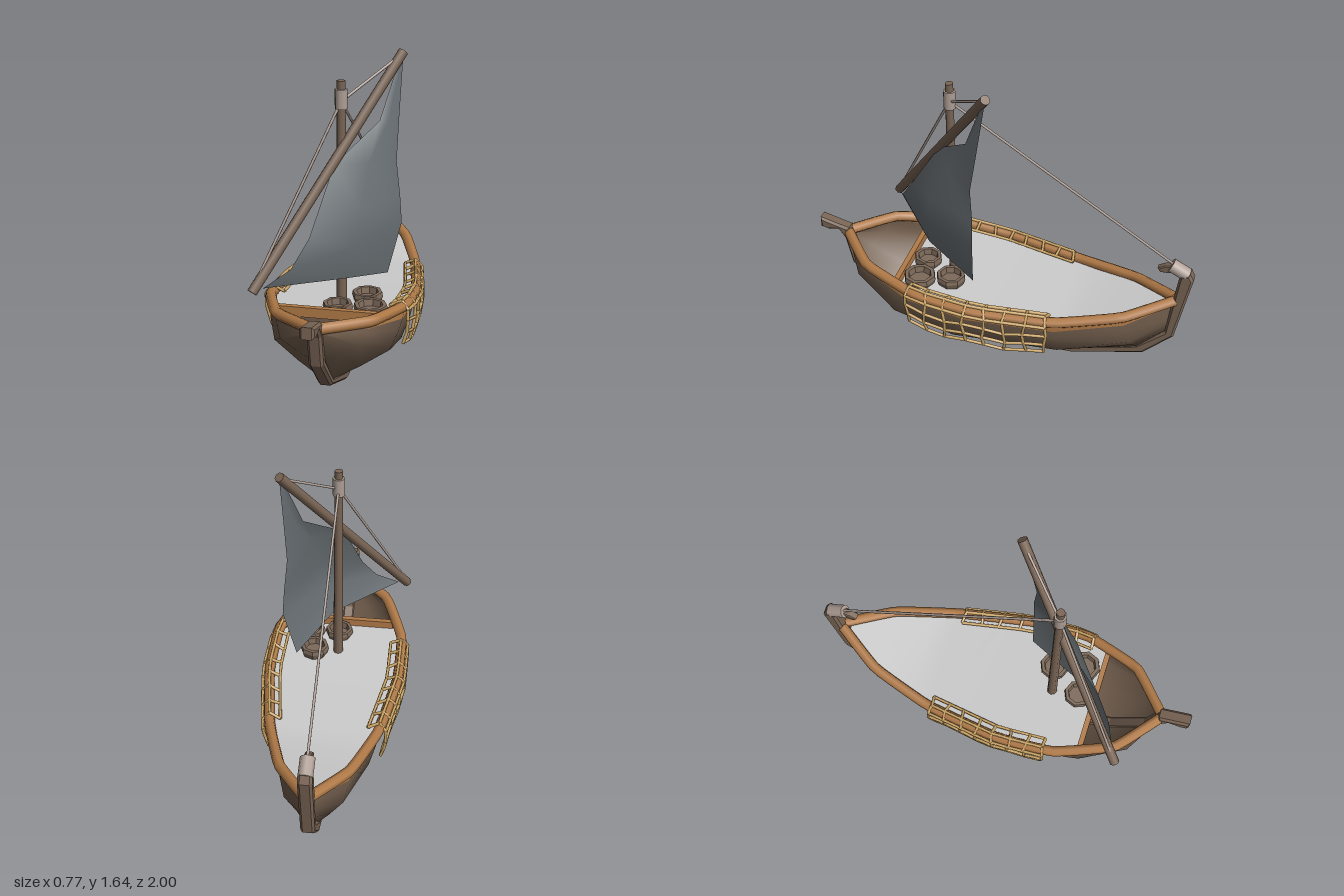
import * as THREE from 'three';

const mat = (name, color, side = THREE.FrontSide) => {
  const m = new THREE.MeshStandardMaterial({ color, side });
  m.name = name;
  return m;
};
const V = (x, y, z) => new THREE.Vector3(x, y, z);

// Stations from bow to stern: rail x, y, z, then keel y, z
const STATIONS = [
  [0.014, 0.525, 0.845, 0.49, 0.85],
  [0.225, 0.503, 0.66, 0.33, 0.78],
  [0.335, 0.463, 0.36, 0.15, 0.6],
  [0.34, 0.428, 0.05, 0.03, 0.27],
  [0.275, 0.403, -0.35, 0.03, -0.38],
  [0.17, 0.433, -0.68, 0.13, -0.75],
  [0.014, 0.475, -0.915, 0.29, -0.9],
];

// Point on a hull section: fx across and fy up, both 0 at the keel and 1 at the rail
function hullPoint(s, fx, fy, side) {
  const x = 0.02 + (s[0] - 0.02) * fx;
  return V(side * x, s[3] + (s[1] - s[3]) * fy, s[4] + (s[2] - s[4]) * fy);
}

// Rail half width and height at any z
function railAt(z) {
  let i = 0;
  while (i < STATIONS.length - 2 && z < STATIONS[i + 1][2]) i++;
  const a = STATIONS[i], b = STATIONS[i + 1];
  const t = (z - a[2]) / (b[2] - a[2]);
  return [a[0] + (b[0] - a[0]) * t, a[1] + (b[1] - a[1]) * t];
}

// Skin over a grid of points
function loft(rows) {
  const n = rows[0].length, index = [];
  for (let i = 0; i < rows.length - 1; i++) {
    for (let j = 0; j < n - 1; j++) {
      const a = i * n + j, b = a + n;
      index.push(a, b, a + 1, a + 1, b, b + 1);
    }
  }
  const g = new THREE.BufferGeometry().setFromPoints(rows.flat());
  g.setIndex(index);
  g.computeVertexNormals();
  return g;
}

// Round bar between two points
function rod(a, b, r, sides = 8, r2 = r) {
  const d = b.clone().sub(a);
  const g = new THREE.CylinderGeometry(r2, r, d.length(), sides);
  g.applyQuaternion(new THREE.Quaternion().setFromUnitVectors(V(0, 1, 0), d.normalize()));
  const c = a.clone().add(b).multiplyScalar(0.5);
  return g.translate(c.x, c.y, c.z);
}

// Side outline given as z, y pairs, extruded across x with chamfered edges
function sidePlate(points, width, bevel) {
  const shape = new THREE.Shape(points.map(([z, y]) => new THREE.Vector2(z, y)));
  return new THREE.ExtrudeGeometry(shape, {
    depth: width - 2 * bevel, bevelThickness: bevel, bevelSize: bevel,
    bevelOffset: -bevel, bevelSegments: 1,
  }).rotateY(-Math.PI / 2).translate(width / 2 - bevel, 0, 0);
}

export function createModel() {
  const group = new THREE.Group();
  const hullMat = mat('hull brown', 0x735f4e, THREE.DoubleSide);
  const wood = mat('timber brown', 0x7a6555);
  const railMat = mat('rail orange brown', 0xb27b48, THREE.DoubleSide);
  const deckMat = mat('deck pale grey', 0xcccccc, THREE.DoubleSide);
  const sailMat = mat('sail slate grey', 0x6a7175, THREE.DoubleSide);
  const rope = mat('rope taupe', 0xb0a097);
  const netMat = mat('net straw', 0xd4ac6a);
  const basketMat = mat('basket brown', 0x7d6a5a);
  basketMat.flatShading = true;

  const add = (name, geometry, material, parent = group) => {
    const m = new THREE.Mesh(geometry, material);
    m.name = name;
    parent.add(m);
    return m;
  };

  // Hull planking, with a warmer strake along the top
  const half = [[0, 0], [0.42, 0.2], [0.84, 0.43], [0.95, 0.7], [0.98, 0.83]];
  const section = (s) => [
    ...half.slice().reverse().map(([fx, fy]) => hullPoint(s, fx, fy, -1)),
    ...half.map(([fx, fy]) => hullPoint(s, fx, fy, 1)),
  ];
  add('hull', loft(STATIONS.map(section)), hullMat);
  for (const side of [-1, 1]) {
    const label = side > 0 ? 'left' : 'right';
    add(label + 'TopStrake', loft(STATIONS.map((s) =>
      [hullPoint(s, 0.98, 0.83, side), hullPoint(s, 1, 1, side)])), railMat);
    const path = new THREE.CatmullRomCurve3(
      STATIONS.map((s) => V(side * s[0], s[1], s[2])), false, 'catmullrom', 0.15);
    add(label + 'Rail', new THREE.TubeGeometry(path, 36, 0.028, 7), railMat);
  }

  // Keel with stem and stern post in one outline
  add('keel', sidePlate([
    [1, 0.6], [1, 0.54], [0.96, 0.53], [0.9, 0.54], [0.865, 0.49], [0.83, 0.33], [0.64, 0.14],
    [0.29, 0], [-0.4, 0], [-0.78, 0.1], [-0.93, 0.25], [-1, 0.63], [-0.98, 0.67],
    [-0.93, 0.65], [-0.88, 0.27], [-0.74, 0.145], [-0.38, 0.045], [0.27, 0.045],
    [0.6, 0.165], [0.775, 0.34], [0.825, 0.5], [0.84, 0.56],
  ], 0.07, 0.012), wood);
  add('sternBinding', rod(V(0, 0.645, -0.965), V(0, 0.69, -0.88), 0.036), rope);
  add('sternHook', sidePlate(
    [[-0.9, 0.7], [-0.85, 0.685], [-0.815, 0.665], [-0.83, 0.645], [-0.87, 0.645], [-0.9, 0.66]],
    0.04, 0.005), wood);

  // Deck of gently tilted flat panels
  const deckRows = [[0.48, 0.43], [0.36, 0.423], [0.05, 0.406], [-0.07, 0.4], [-0.35, 0.39],
    [-0.47, 0.39], [-0.68, 0.42], [-0.88, 0.45]];
  add('deck', loft(deckRows.map(([z, y]) => {
    const x = railAt(z)[0] * 0.985;
    return [V(-x, y, z), V(x, y, z)];
  })), deckMat);

  // Bow beam and the bulkhead under it
  add('bowBeam', new THREE.BoxGeometry(0.55, 0.05, 0.028).translate(0, 0.445, 0.49), railMat);
  const bulkhead = new THREE.Shape([[-0.265, 0.44], [-0.22, 0.28], [0, 0.13], [0.22, 0.28],
    [0.265, 0.44]].map(([x, y]) => new THREE.Vector2(x, y)));
  add('bulkhead', new THREE.ShapeGeometry(bulkhead).translate(0, 0, 0.49), hullMat);

  // Mast, collar and slanting yard
  add('mast', rod(V(0, 0.4, 0.26), V(0, 1.53, 0.26), 0.026, 8, 0.021), wood);
  add('mastCollar', rod(V(0, 1.395, 0.26), V(0, 1.49, 0.26), 0.031), rope);
  add('yard', rod(V(-0.335, 0.605, 0.685), V(0.25, 1.625, 0), 0.025), wood);

  // Rigging
  const head = V(0, 1.43, 0.26);
  [V(0, 0.69, -0.9), V(-0.325, 0.64, 0.67), V(0.24, 1.61, 0.01)].forEach((end, i) =>
    add('rigging' + (i + 1), rod(head, end, 0.007, 6), rope));

  // Sail: luff, belly and leech points from foot to peak
  const sailRows = [
    [V(-0.29, 0.62, 0.66), V(0.04, 0.585, 0.38), V(0.2, 0.515, 0.09)],
    [V(-0.17, 0.7, 0.6), V(0.085, 0.75, 0.385), V(0.265, 0.78, 0.07)],
    [V(-0.1, 0.83, 0.52), V(0.11, 0.92, 0.34), V(0.255, 0.92, 0.07)],
    [V(-0.02, 1.14, 0.33), V(0.13, 1.13, 0.24), V(0.238, 1.1, 0.085)],
    [V(0.16, 1.31, 0.13), V(0.2, 1.31, 0.11), V(0.242, 1.31, 0.05)],
    [V(0.235, 1.59, 0.02), V(0.243, 1.595, 0.01), V(0.25, 1.59, 0.005)],
  ];
  add('sail', loft(sailRows), sailMat);

  // Nets draped over both rails: offsets out from and down from the rail
  const drape = [[-0.055, 0.005], [0, 0.032], [0.037, -0.01], [0.037, -0.075],
    [0.027, -0.14], [0.01, -0.2]];
  function net(name, side, z0, z1, drop) {
    const g = new THREE.Group();
    g.name = name;
    group.add(g);
    const cols = 7;
    const node = (i, j) => {
      const z = z0 + (z1 - z0) * i / cols + 0.008 * Math.sin(i * 2.3 + j * 1.7);
      const [x, y] = railAt(z);
      const [dx, dy] = drape[j];
      const sag = j > 2 ? 0.012 * Math.sin(i * 1.9 + side) : 0;
      return V(side * (x + dx), y + (dy < 0 ? dy * drop : dy) + sag, z);
    };
    for (let i = 0; i <= cols; i++) {
      for (let j = 0; j < drape.length; j++) {
        if (i < cols) add('strand', rod(node(i, j), node(i + 1, j), 0.0085, 5), netMat, g);
        if (j < drape.length - 1) add('strand', rod(node(i, j), node(i, j + 1), 0.0085, 5), netMat, g);
      }
    }
  }
  net('leftNet', 1, -0.32, 0.4, 1);
  net('rightNet', -1, -0.33, 0.31, 0.88);

  // Round baskets by the mast
  [[0.17, 0.39, 0.085], [0.01, 0.4, 0.075], [0.125, 0.235, 0.078]].forEach(([x, z, r], i) => {
    const h = 0.055;
    const profile = [[0, 0], [r * 0.85, 0], [r, h * 0.6], [r * 0.95, h], [r * 0.72, h],
      [r * 0.65, h * 0.4], [0, h * 0.4]].map(([a, b]) => new THREE.Vector2(a, b));
    add('basket' + (i + 1), new THREE.LatheGeometry(profile, 8), basketMat)
      .position.set(x, 0.412, z);
  });

  return group;
}
